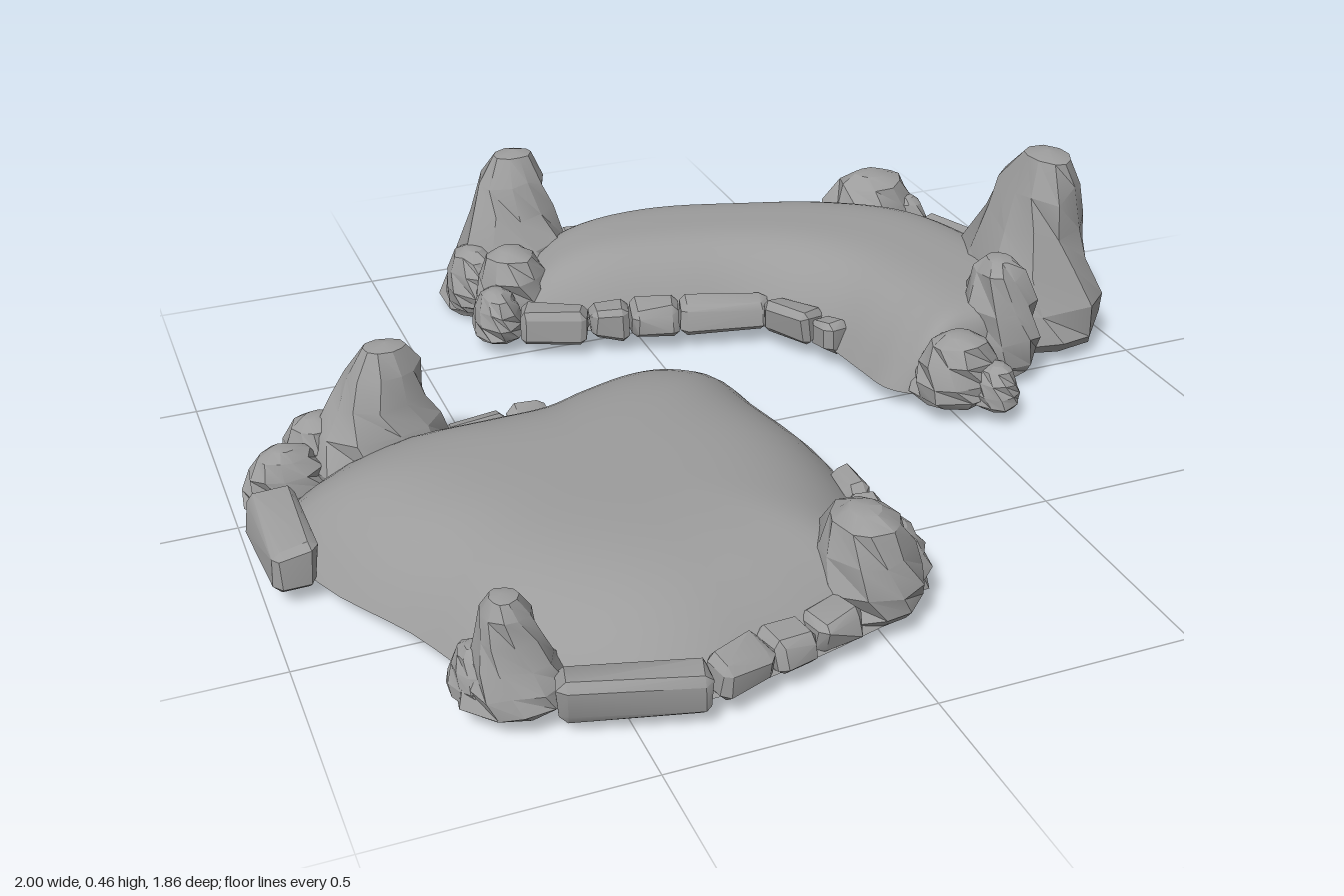
import * as THREE from 'three';
import { mergeVertices, toCreasedNormals } from 'three/addons/utils/BufferGeometryUtils.js';
import { ConvexGeometry } from 'three/addons/geometries/ConvexGeometry.js';

const soilMat = new THREE.MeshStandardMaterial({ color: 0x9c9c9c, side: THREE.DoubleSide });
const stoneMat = new THREE.MeshStandardMaterial({ color: 0x9c9c9c });

let seed = 7;
const rand = () => {
  seed = (seed * 16807) % 2147483647;
  return seed / 2147483647;
};
const jitter = (a) => (rand() * 2 - 1) * a;

function add(group, name, geometry, material) {
  const mesh = new THREE.Mesh(geometry, material);
  mesh.name = name;
  group.add(mesh);
}

const curveOf = (pts, closed) =>
  new THREE.CatmullRomCurve3(pts.map(([x, z]) => new THREE.Vector3(x, 0, z)), closed, 'centripetal');

// Smooth open sheet sampled from f(u, v)
function sheet(nu, nv, f) {
  const pos = [], idx = [];
  for (let i = 0; i <= nu; i++)
    for (let j = 0; j <= nv; j++) pos.push(...f(i / nu, j / nv).toArray());
  for (let i = 0; i < nu; i++)
    for (let j = 0; j < nv; j++) {
      const a = i * (nv + 1) + j, b = a + nv + 1;
      idx.push(a, a + 1, b, b, a + 1, b + 1);
    }
  const g = new THREE.BufferGeometry();
  g.setAttribute('position', new THREE.Float32BufferAttribute(pos, 3));
  g.setIndex(idx);
  const merged = mergeVertices(g, 1e-5);
  merged.computeVertexNormals();
  return merged;
}

// Rock silhouettes: [radius, height], from the flat underside to the tip
const boulder = [[0, 0], [0.8, 0], [1, 0.12], [1, 0.35], [0.87, 0.62], [0.62, 0.87], [0.3, 0.98], [0, 1]];
const spire = [[0, 0], [0.85, 0], [1, 0.07], [0.95, 0.24], [0.77, 0.42], [0.58, 0.62], [0.47, 0.82],
  [0.27, 0.97], [0, 1]];

// Softly faceted rock: a lathed silhouette, twisted, roughened and leaning to its tip at (tipX, tipZ)
function rock(profile, x, z, rx, rz, y0, y1, tipX = x, tipZ = z) {
  let g = new THREE.LatheGeometry(profile.map(([r, h]) => new THREE.Vector2(r, h)), 10);
  g.deleteAttribute('normal');
  g.deleteAttribute('uv');
  g = mergeVertices(g, 1e-4);
  const p = g.attributes.position;
  const phase = rand() * 6;
  for (let i = 0; i < p.count; i++) {
    const h = p.getY(i);
    const r = Math.hypot(p.getX(i), p.getZ(i));
    const a = Math.atan2(p.getZ(i), p.getX(i)) + 1.1 * h + jitter(0.12);
    const s = r * (1 + 0.05 * Math.sin(3 * a + phase + 3 * h) + jitter(0.06));
    const lean = h * h * (1.6 - 0.6 * h);
    p.setXYZ(i,
      x + Math.cos(a) * rx * s + (tipX - x) * lean,
      y0 + (y1 - y0) * (h < 0.001 || h > 0.9 ? h : h + jitter(0.035)),
      z + Math.sin(a) * rz * s + (tipZ - z) * lean);
  }
  return toCreasedNormals(g, 0.5);
}

// Chipped edging block laid between two ground points
function block([ax, az, bx, bz, width = 0.075, top = 0.11]) {
  const len = Math.hypot(bx - ax, bz - az), h = top - 0.035, c = 0.014;
  const pts = [];
  for (const sx of [-1, 1]) for (const sy of [-1, 1]) for (const sz of [-1, 1]) {
    const dy = jitter(0.008), dz = jitter(0.008);
    for (let k = 0; k < 3; k++) {
      const cut = (n) => (k === n ? 0 : c) + jitter(0.003);
      pts.push(new THREE.Vector3(
        sx * (len / 2 - cut(0)), sy * (h / 2 - cut(1)) + dy, sz * (width / 2 - cut(2)) + dz));
    }
  }
  const g = new ConvexGeometry(pts);
  g.rotateY(-Math.atan2(bz - az, bx - ax));
  g.translate((ax + bx) / 2, 0.035 + h / 2, (az + bz) / 2);
  return toCreasedNormals(g, 0.5);
}

function fill(group, rocks, blocks) {
  for (const r of rocks) add(group, 'rock', rock(...r), stoneMat);
  for (const b of blocks) add(group, 'edgingStone', block(b), stoneMat);
}

function createWideBed() {
  const bed = new THREE.Group();
  bed.name = 'wideBed';
  // Domed soil spreading from the centre to the outline
  const rim = curveOf([
    [-0.385, -0.065], [-0.26, -0.115], [-0.11, -0.158], [-0.02, -0.15], [0.06, -0.09], [0.09, 0.06],
    [0.13, 0.29], [0.095, 0.6], [0.05, 0.78], [-0.07, 0.83], [-0.23, 0.87], [-0.37, 0.895], [-0.5, 0.87],
    [-0.69, 0.73], [-0.79, 0.52], [-0.9, 0.32], [-0.95, 0.1], [-0.8, -0.03], [-0.55, -0.055]], true);
  const centre = new THREE.Vector3(-0.38, 0, 0.33);
  add(bed, 'soilMound', sheet(72, 18, (u, v) => {
    const p = centre.clone().lerp(rim.getPoint(u % 1), v);
    p.y = 0.04 + 0.16 * (1 - v ** 4.5);
    return p;
  }), soilMat);
  fill(bed, [
    [spire, -0.72, -0.02, 0.155, 0.12, 0.035, 0.33, -0.68, -0.03],
    [boulder, -0.82, -0.05, 0.08, 0.07, 0.04, 0.19],
    [boulder, -0.9, 0.01, 0.085, 0.065, 0.04, 0.165],
    [spire, -0.67, 0.75, 0.095, 0.1, 0.035, 0.24, -0.68, 0.75],
    [boulder, -0.73, 0.73, 0.045, 0.06, 0.04, 0.14],
    [boulder, -0.01, 0.72, 0.1, 0.115, 0.035, 0.235],
    [boulder, 0.085, 0.66, 0.05, 0.1, 0.04, 0.145],
  ], [
    [-0.57, -0.055, -0.44, -0.065, 0.055], [-0.43, -0.07, -0.35, -0.075, 0.055],
    [-0.945, 0.08, -0.945, 0.31, 0.085, 0.12],
    [-0.62, 0.83, -0.37, 0.89], [-0.365, 0.89, -0.26, 0.86], [-0.255, 0.855, -0.17, 0.83],
    [-0.165, 0.825, -0.07, 0.8],
    [0.1, 0.38, 0.1, 0.48, 0.055], [0.1, 0.485, 0.095, 0.58, 0.055],
  ]);
  return bed;
}

function createCurvedBed() {
  const bed = new THREE.Group();
  bed.name = 'curvedBed';
  // Crescent of soil arched between its outer and inner edges
  const outer = curveOf([
    [-0.26, -0.75], [-0.05, -0.85], [0.17, -0.865], [0.38, -0.81], [0.6, -0.745], [0.79, -0.62],
    [0.88, -0.4], [0.9, -0.2], [0.75, 0], [0.58, 0.07]], false);
  const inner = curveOf([
    [-0.28, -0.56], [-0.12, -0.475], [0.05, -0.425], [0.2, -0.38], [0.3, -0.3], [0.345, -0.2],
    [0.365, -0.07], [0.38, 0.02], [0.41, 0.06], [0.46, 0.085]], false);
  add(bed, 'soilMound', sheet(48, 22, (u, v) => {
    const p = outer.getPoint(u).lerp(inner.getPoint(u), v);
    p.y = 0.04 + 0.165 * (1 - Math.abs(2 * v - 1) ** 3.5) * (1 - Math.abs(2 * u - 1) ** 8);
    return p;
  }), soilMat);
  fill(bed, [
    [spire, -0.215, -0.79, 0.165, 0.14, 0, 0.36, -0.18, -0.83],
    [boulder, -0.31, -0.74, 0.07, 0.09, 0.03, 0.17],
    [boulder, -0.25, -0.64, 0.09, 0.09, 0.03, 0.2],
    [boulder, -0.31, -0.56, 0.055, 0.08, 0.03, 0.14],
    [boulder, 0.69, -0.7, 0.13, 0.105, 0.03, 0.22],
    [boulder, 0.77, -0.66, 0.055, 0.06, 0.03, 0.16],
    [spire, 0.825, -0.205, 0.175, 0.23, 0.02, 0.455, 0.85, -0.15],
    [boulder, 0.66, -0.01, 0.09, 0.1, 0.03, 0.29],
    [boulder, 0.51, 0.1, 0.1, 0.08, 0.035, 0.185],
    [boulder, 0.57, 0.16, 0.05, 0.055, 0.035, 0.13],
  ], [
    [-0.06, -0.865, 0.18, -0.87], [0.185, -0.865, 0.285, -0.84], [0.29, -0.835, 0.375, -0.81],
    [0.38, -0.805, 0.57, -0.75], [0.79, -0.63, 0.88, -0.41],
    [-0.27, -0.51, -0.13, -0.455], [-0.125, -0.455, -0.04, -0.435], [-0.035, -0.435, 0.07, -0.41],
    [0.075, -0.41, 0.265, -0.355], [0.27, -0.345, 0.335, -0.24], [0.34, -0.24, 0.36, -0.17, 0.055],
  ]);
  return bed;
}

export function createModel() {
  seed = 7;
  const model = new THREE.Group();
  model.name = 'rockGarden';
  model.add(createWideBed(), createCurvedBed());
  return model;
}
